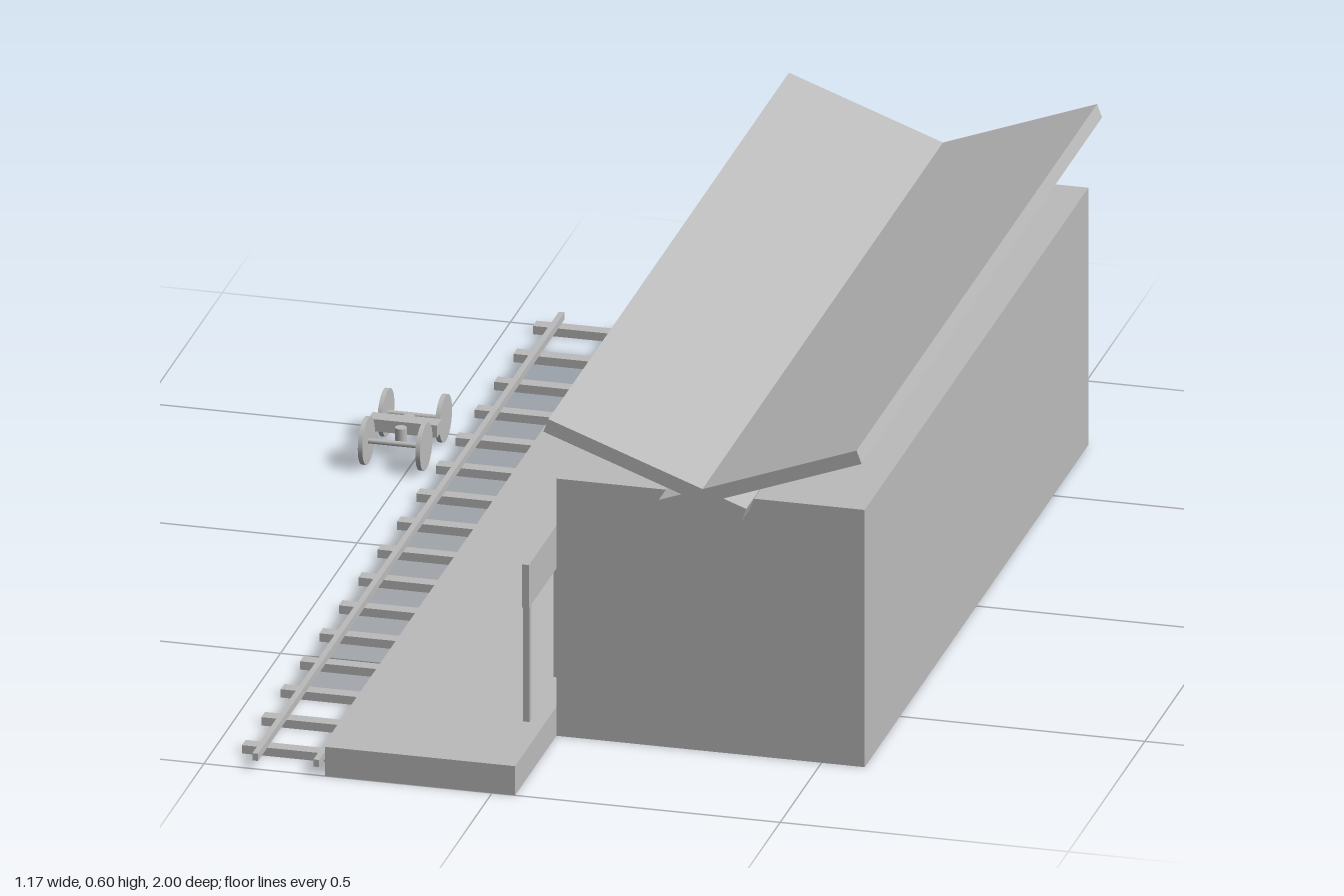
import * as THREE from 'three';

export function createModel() {
  const model = new THREE.Group();
  model.name = 'railwayStation';
  const grey = new THREE.MeshStandardMaterial({ color: 0xbbbbbb });
  grey.name = 'plain grey';

  const add = (name, geometry, x, y, z, parent = model) => {
    const mesh = new THREE.Mesh(geometry, grey);
    mesh.name = name;
    mesh.position.set(x, y, z);
    parent.add(mesh);
    return mesh;
  };
  // Box given by its extents along each axis
  const box = (name, [x0, x1], [y0, y1], [z0, z1], parent) =>
    add(name, new THREE.BoxGeometry(x1 - x0, y1 - y0, z1 - z0),
      (x0 + x1) / 2, (y0 + y1) / 2, (z0 + z1) / 2, parent);

  // Station building and platform
  box('building', [0.04, 0.575], [0, 0.467], [-0.73, 0.73]);
  box('platform', [-0.29, 0.04], [0, 0.053], [-1, 1]);

  // Butterfly roof: two crossing tilted slabs
  for (const side of [-1, 1]) {
    const slab = add('roofSlab', new THREE.BoxGeometry(0.366, 0.025, 1.57), 0.308 + side * 0.1, 0.522, 0);
    slab.rotation.z = side * THREE.MathUtils.degToRad(20.2);
  }

  // Doors along the platform side
  for (const z of [-0.505, -0.168, 0.168, 0.505])
    box('door', [0.024, 0.04], [0.053, 0.329], [z - 0.086, z + 0.086]);

  // Station sign on two posts
  const sign = new THREE.Group();
  sign.name = 'sign';
  model.add(sign);
  box('signBoard', [0.002, 0.014], [0.262, 0.34], [0.588, 0.812], sign);
  for (const z of [0.6, 0.801])
    box('signPost', [0.002, 0.014], [0.053, 0.262], [z - 0.006, z + 0.006], sign);

  // Track: sleepers and two rails
  const track = new THREE.Group();
  track.name = 'track';
  model.add(track);
  for (let i = 0; i < 16; i++) {
    const z = -0.971 + i * 0.1266;
    box('sleeper', [-0.45, -0.266], [0, 0.015], [z - 0.012, z + 0.012], track);
  }
  for (const x of [-0.411, -0.305])
    box('rail', [x - 0.005, x + 0.005], [0.015, 0.028], [-1, 1], track);

  // Wheel truck standing beside the track
  const truck = new THREE.Group();
  truck.name = 'wheelTruck';
  truck.position.set(-0.525, 0, -0.406);
  model.add(truck);
  box('bolster', [-0.06, 0.06], [0.038, 0.06], [-0.015, 0.015], truck);
  for (const z of [-0.064, 0.064]) {
    add('axle', new THREE.CylinderGeometry(0.0045, 0.0045, 0.1, 16), 0, 0.041, z, truck).rotation.z = Math.PI / 2;
    for (const x of [-0.05, 0.05])
      add('wheel', new THREE.CylinderGeometry(0.041, 0.041, 0.008, 32), x, 0.041, z, truck).rotation.z = Math.PI / 2;
  }
  for (const z of [-0.026, 0.026])
    add('spring', new THREE.CylinderGeometry(0.01, 0.01, 0.03, 16), 0, 0.04, z, truck);

  return model;
}
